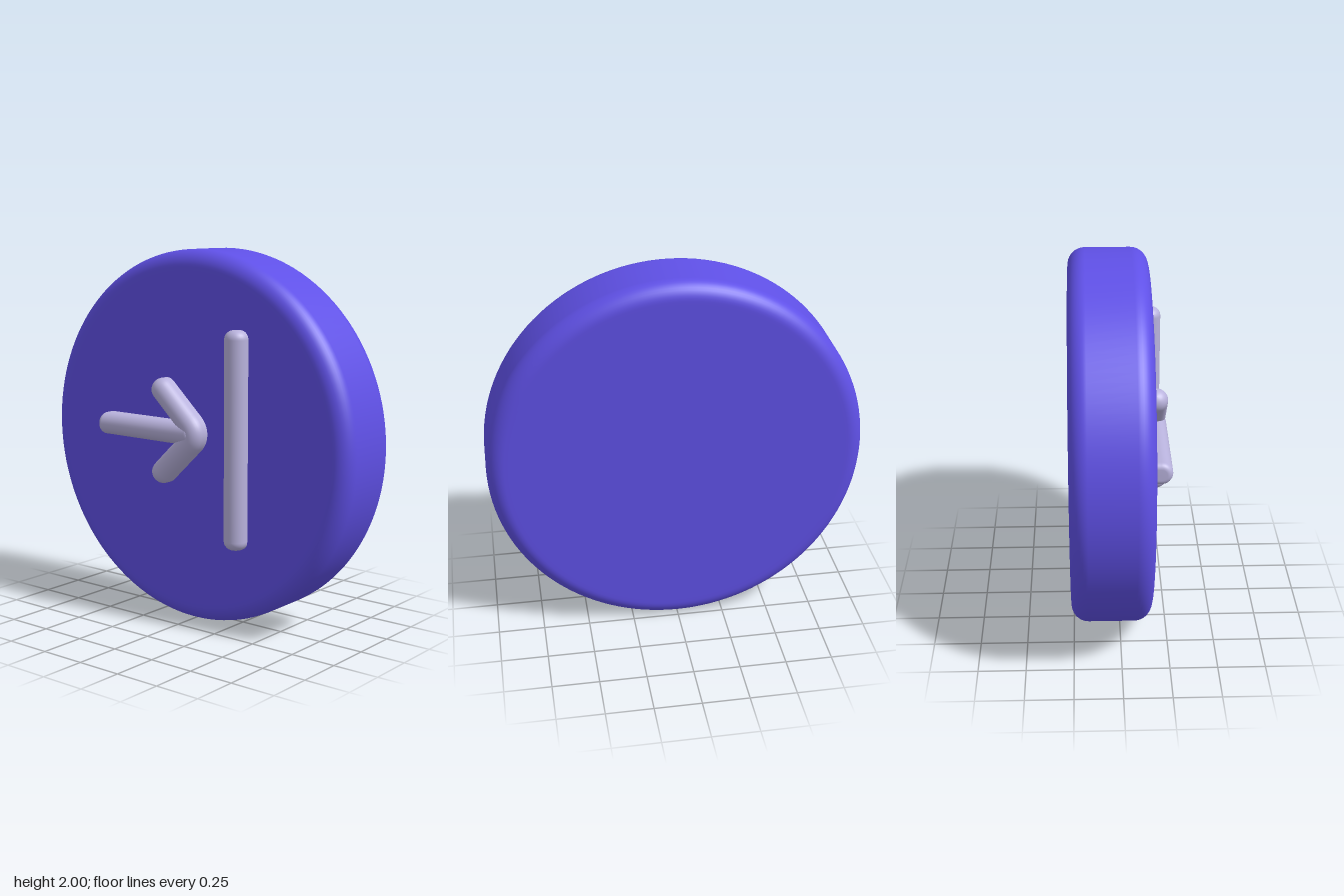
import * as THREE from 'three';

const BASE = 0.12; // strokes start slightly inside the disc

// Sweeps a raised, round-topped stroke along a curve in the xy plane.
// top: highest z, r: half width, endRound: rounding length at each end.
function strokeGeometry(curve, steps, top, r, endRound) {
  const arc = 16, capSteps = 8, rings = [];
  const z0 = top - r;
  const addRing = (u, shift, scale) => {
    const t = curve.getTangentAt(u);
    const p = curve.getPointAt(u).addScaledVector(t, shift);
    const ring = [];
    const put = (side, z) => ring.push(p.x - t.y * side, p.y + t.x * side, z);
    put(r * scale, BASE);
    for (let k = 0; k <= arc; k++) {
      const a = Math.PI * k / arc;
      put(r * scale * Math.cos(a), z0 + r * scale * Math.sin(a));
    }
    put(-r * scale, BASE);
    rings.push(ring);
  };
  const cap = (u, sign, k) => {
    const a = Math.PI / 2 * k / capSteps;
    addRing(u, sign * endRound * Math.sin(a), 1 - endRound / r * (1 - Math.cos(a)));
  };
  addRing(0, -endRound, 0);
  for (let k = capSteps; k > 0; k--) cap(0, -1, k);
  for (let i = 0; i <= steps; i++) addRing(i / steps, 0, 1);
  for (let k = 1; k <= capSteps; k++) cap(1, 1, k);
  addRing(1, endRound, 0);

  const n = arc + 3, index = [];
  for (let i = 0; i < rings.length - 1; i++) {
    for (let j = 0; j < n - 1; j++) {
      const a = i * n + j, b = a + 1, c = a + n, d = c + 1;
      index.push(a, b, c, b, d, c);
    }
  }
  const g = new THREE.BufferGeometry();
  g.setAttribute('position', new THREE.Float32BufferAttribute(rings.flat(), 3));
  g.setIndex(index);
  g.computeVertexNormals();
  return g;
}

export function createModel() {
  const model = new THREE.Group();
  const discMaterial = new THREE.MeshStandardMaterial({ color: 0x5f50e6 });
  const iconMaterial = new THREE.MeshStandardMaterial({ color: 0xb8b2dc });
  const add = (name, geometry, material, parent = model) => {
    const mesh = new THREE.Mesh(geometry, material);
    mesh.name = name;
    parent.add(mesh);
  };
  const v = (x, y) => new THREE.Vector2(x, y);

  // Thick disc with filleted rims, turned to face +z
  const back = -0.26, front = 0.16, fillet = 0.09, profile = [v(0, back), v(0.89, back)];
  for (const [cy, start] of [[back + fillet, -Math.PI / 2], [front - fillet, 0]]) {
    for (let k = 0; k <= 10; k++) {
      const a = start + Math.PI / 2 * k / 10;
      profile.push(v(1 - fillet + fillet * Math.cos(a), cy + fillet * Math.sin(a)));
    }
  }
  profile.push(v(0.89, front), v(0, front));
  const disc = new THREE.LatheGeometry(profile, 128);
  disc.rotateX(Math.PI / 2);
  disc.translate(0, 1, 0);
  add('disc', disc, discMaterial);

  // Arrow: straight shaft and a bent head with a rounded tip
  const arrow = new THREE.Group();
  arrow.name = 'arrow';
  model.add(arrow);
  add('arrowShaft', strokeGeometry(new THREE.LineCurve(v(-0.54, 1.04), v(0.05, 1.04)), 4, 0.262, 0.06, 0.03),
    iconMaterial, arrow);
  const head = new THREE.CurvePath();
  head.add(new THREE.LineCurve(v(-0.143, 1.26), v(0.03, 1.1)));
  head.add(new THREE.QuadraticBezierCurve(v(0.03, 1.1), v(0.105, 1.04), v(0.03, 0.98)));
  head.add(new THREE.LineCurve(v(0.03, 0.98), v(-0.143, 0.815)));
  add('arrowHead', strokeGeometry(head, 60, 0.258, 0.063, 0.063), iconMaterial, arrow);

  // Upright bar the arrow points to
  add('bar', strokeGeometry(new THREE.LineCurve(v(0.333, 0.505), v(0.333, 1.555)), 4, 0.24, 0.063, 0.048), iconMaterial);

  return model;
}
